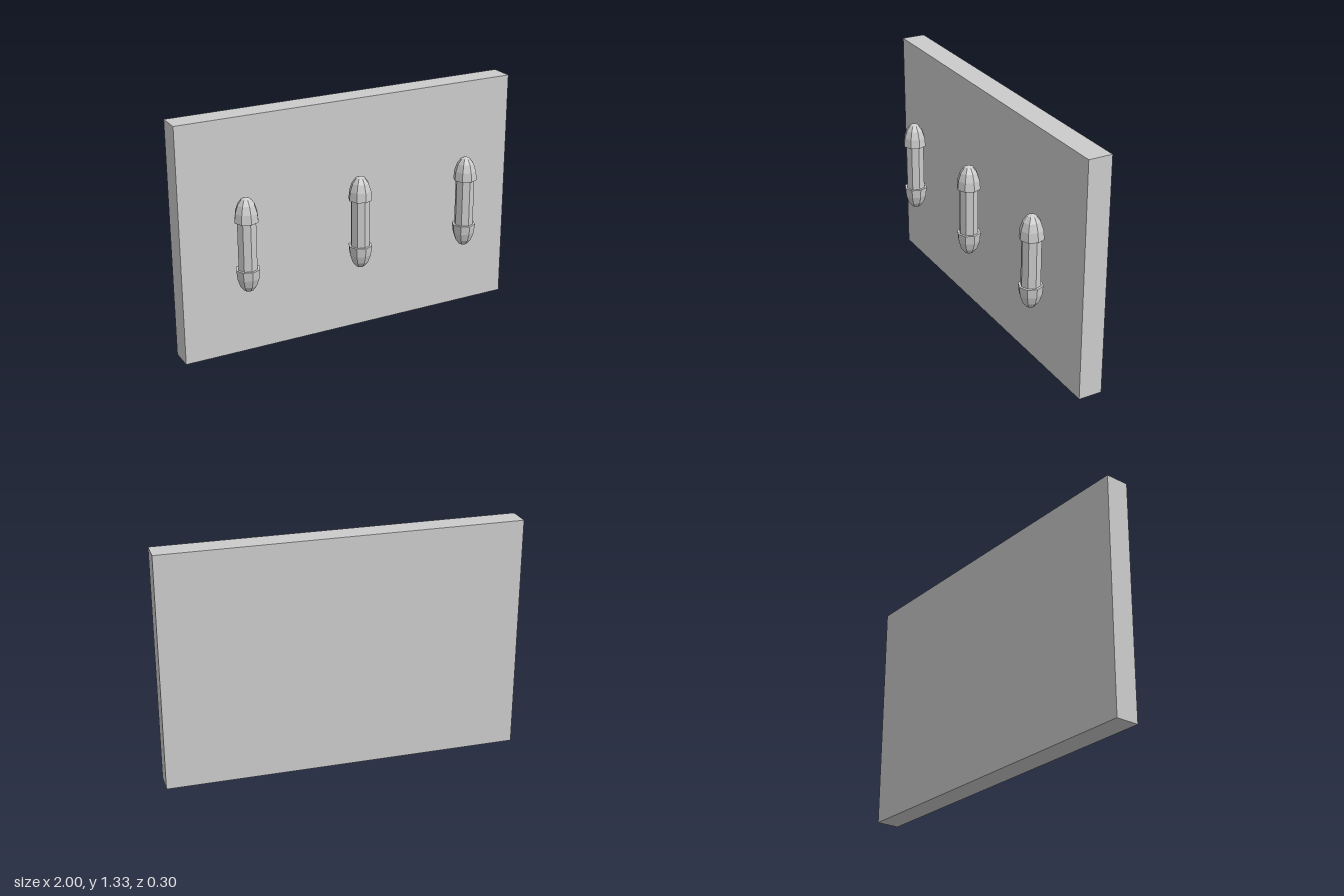
import * as THREE from 'three';

export function createModel() {
  const group = new THREE.Group();
  const material = new THREE.MeshStandardMaterial({ color: 0xcccccc, flatShading: true });
  const sides = 8;
  const capRadius = 0.0667, capHeight = 0.1333, shaftRadius = 0.0533, shaftLength = 0.2667;

  function add(parent, name, geometry, y, z = 0) {
    const mesh = new THREE.Mesh(geometry, material);
    mesh.name = name;
    mesh.position.set(0, y, z);
    parent.add(mesh);
    return mesh;
  }

  // Upright slab
  add(group, 'panel', new THREE.BoxGeometry(2, 1.3333, 0.1333), 0.6667, -0.0833);

  // Stretched dome with a closed flat base, turned on a lathe
  const profile = [new THREE.Vector2(0, 0)];
  for (let i = 0; i <= 4; i++) {
    const a = (i / 4) * Math.PI / 2;
    profile.push(new THREE.Vector2(i === 4 ? 0 : capRadius * Math.cos(a), capHeight * Math.sin(a)));
  }
  const capGeometry = new THREE.LatheGeometry(profile, sides);
  const shaftGeometry = new THREE.CylinderGeometry(shaftRadius, shaftRadius, shaftLength, sides);

  // Three rods floating in front of the panel, each with a cap at both ends
  for (const [name, x] of [['rightRod', -0.6667], ['middleRod', 0], ['leftRod', 0.6667]]) {
    const rod = new THREE.Group();
    rod.name = name;
    rod.position.set(x, 0.6667, 0.0833);
    add(rod, 'shaft', shaftGeometry, 0);
    add(rod, 'upperCap', capGeometry, shaftLength / 2);
    add(rod, 'lowerCap', capGeometry, -shaftLength / 2).rotation.x = Math.PI;
    group.add(rod);
  }
  return group;
}
